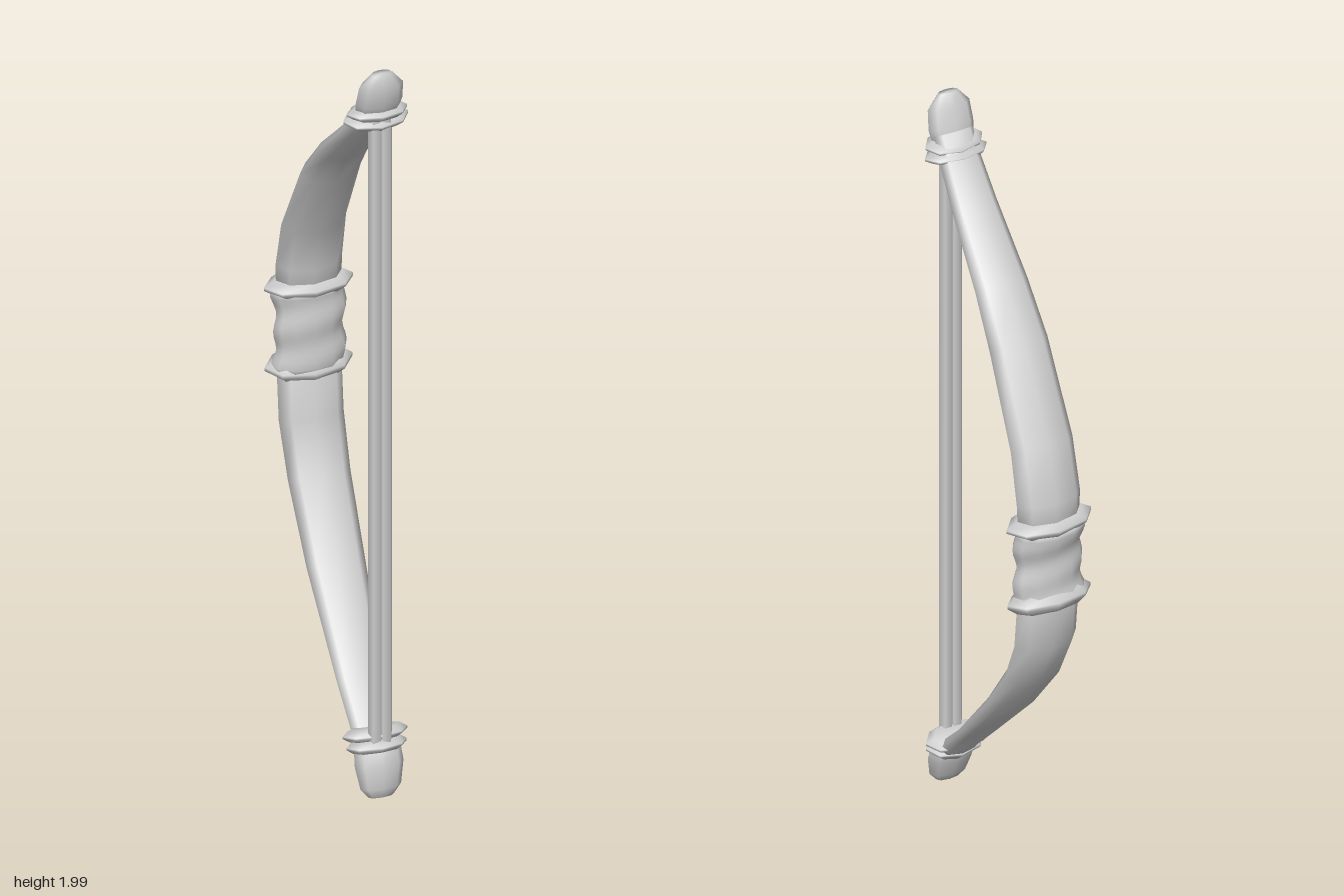
import * as THREE from 'three';

// Skin elliptical cross-sections [x, y, halfThickness, halfWidth] listed bottom to top.
// Each section is square to the path; bump(angle, y) scales the section.
function loft(sections, sides = 8, bump = () => 1) {
  const pos = [], idx = [], n = sections.length;
  sections.forEach(([x, y, t, w], i) => {
    const a = sections[Math.max(i - 1, 0)], b = sections[Math.min(i + 1, n - 1)];
    const len = Math.hypot(b[0] - a[0], b[1] - a[1]);
    const tx = (b[0] - a[0]) / len, ty = (b[1] - a[1]) / len;
    for (let j = 0; j < sides; j++) {
      const ang = (j / sides) * Math.PI * 2, k = bump(ang, y);
      const c = Math.cos(ang) * t * k;
      pos.push(x + ty * c, y - tx * c, Math.sin(ang) * w * k);
    }
  });
  for (let i = 0; i < n - 1; i++) {
    for (let j = 0; j < sides; j++) {
      const a = i * sides + j, b = i * sides + (j + 1) % sides;
      idx.push(a, a + sides, b, b, a + sides, b + sides);
    }
  }
  // End caps
  const first = pos.length / 3, top = (n - 1) * sides;
  pos.push(sections[0][0], sections[0][1], 0, sections[n - 1][0], sections[n - 1][1], 0);
  for (let j = 0; j < sides; j++) {
    const k = (j + 1) % sides;
    idx.push(first, j, k, first + 1, top + k, top + j);
  }
  const g = new THREE.BufferGeometry();
  g.setAttribute('position', new THREE.Float32BufferAttribute(pos, 3));
  g.setIndex(idx);
  g.computeVertexNormals();
  return g;
}

export function createModel() {
  const model = new THREE.Group();
  model.name = 'bow';
  const grey = new THREE.MeshStandardMaterial({ color: 0xcccccc });
  grey.name = 'plainGrey';

  // The bow lies in a plane turned slightly about the vertical axis
  const bow = new THREE.Group();
  bow.name = 'bowBody';
  bow.rotation.y = -0.3;
  bow.position.z = 0.009;
  model.add(bow);
  const add = (name, geometry) => {
    const mesh = new THREE.Mesh(geometry, grey);
    mesh.name = name;
    bow.add(mesh);
    return mesh;
  };

  // Curved limbs, wide at the grip and slim at the tips
  add('lowerLimb', loft([
    [0.25, 0.11, 0.028, 0.05], [0.215, 0.15, 0.024, 0.05], [0.13, 0.24, 0.02, 0.058],
    [-0.05, 0.45, 0.028, 0.072], [-0.172, 0.62, 0.034, 0.077],
    [-0.23, 0.75, 0.04, 0.08], [-0.247, 0.9, 0.042, 0.08],
  ]));
  add('upperLimb', loft([
    [-0.25, 1.08, 0.044, 0.08], [-0.247, 1.17, 0.045, 0.082], [-0.212, 1.3, 0.044, 0.08],
    [-0.09, 1.51, 0.038, 0.075], [0.0, 1.62, 0.031, 0.068],
    [0.145, 1.76, 0.025, 0.058], [0.225, 1.85, 0.024, 0.052], [0.255, 1.9, 0.025, 0.05],
  ]));

  // Grip with a spiral wrap
  const wrap = [];
  for (let i = 0; i <= 12; i++) {
    const s = i / 12, waist = Math.sin(s * Math.PI);
    wrap.push([-0.25 + 0.008 * waist, 0.88 + 0.22 * s, 0.05 - 0.007 * waist, 0.092 - 0.007 * waist]);
  }
  add('gripWrap', loft(wrap, 12, (a, y) => 1 + 0.06 * Math.cos(a + y * 62)));

  // Bands: each is a short loft that swells in the middle
  const band = (name, x, y, t, w, h, lean) => add(name, loft([
    [x - lean * h, y - h, t * 0.78, w * 0.78], [x, y - h * 0.2, t, w],
    [x, y + h * 0.2, t, w], [x + lean * h, y + h, t * 0.78, w * 0.78],
  ], 8));
  band('gripBandTop', -0.25, 1.105, 0.058, 0.11, 0.02, 0);
  band('gripBandBottom', -0.25, 0.885, 0.056, 0.108, 0.024, 0.2);
  band('upperTipBandOuter', 0.253, 1.873, 0.045, 0.074, 0.014, -0.1);
  band('upperTipBandInner', 0.243, 1.849, 0.046, 0.08, 0.014, 0.15);
  band('lowerTipBandInner', 0.237, 0.153, 0.044, 0.08, 0.014, -0.3);
  band('lowerTipBandOuter', 0.25, 0.128, 0.046, 0.074, 0.014, -0.3);

  // Blunt tips
  add('upperTip', loft([
    [0.25, 1.865, 0.026, 0.052], [0.268, 1.91, 0.029, 0.058],
    [0.281, 1.96, 0.026, 0.054], [0.286, 1.995, 0.012, 0.026],
  ]));
  add('lowerTip', loft([
    [0.283, 0.005, 0.01, 0.03], [0.28, 0.03, 0.022, 0.05],
    [0.268, 0.085, 0.033, 0.06], [0.247, 0.14, 0.03, 0.056],
  ]));

  // Twin-strand string
  for (const side of [-1, 1]) {
    const strand = add(side < 0 ? 'stringBack' : 'stringFront',
      new THREE.CylinderGeometry(0.018, 0.018, 1.74, 6));
    strand.position.set(0.265, 0.995, -0.003 + side * 0.012);
  }
  return model;
}
